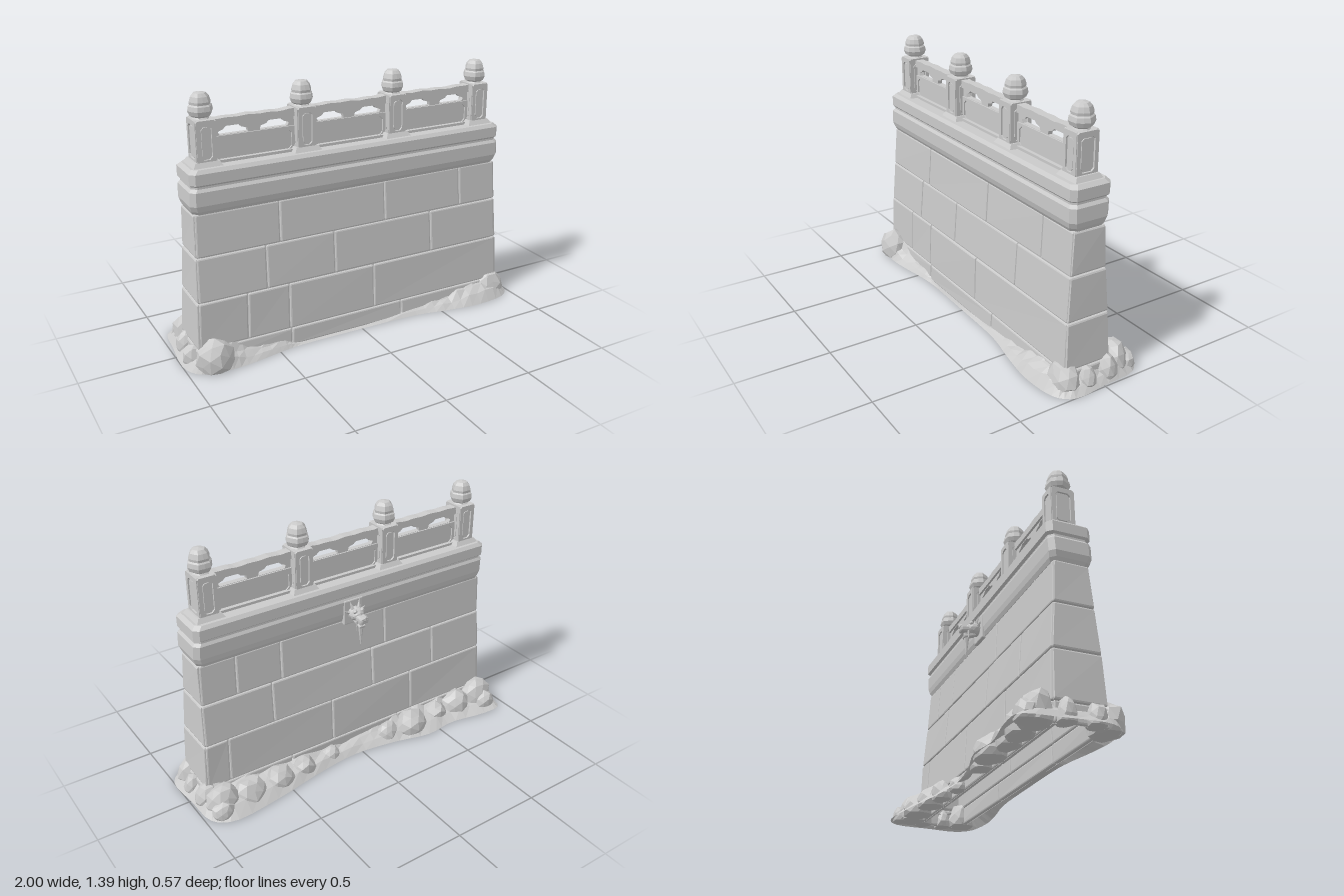
import * as THREE from 'three';
import { RoundedBoxGeometry } from 'three/addons/geometries/RoundedBoxGeometry.js';

const stone = new THREE.MeshStandardMaterial({ color: 0xcacaca });
stone.name = 'grey stone';
stone.side = THREE.DoubleSide;
stone.flatShading = true;

// Small repeatable unevenness from position
const noise = (a, b, c = 0) => Math.sin(a * 37.1 + b * 61.7 + c * 23.3) * Math.cos(a * 17.9 - b * 29.3 + c * 53.9);

// Tapering wall profile: height, half length, back z, front z
const PROFILE = [
  [0, 0.925, -0.09, 0.185], [0.1, 0.92, -0.09, 0.18], [0.36, 0.908, -0.08, 0.17],
  [0.59, 0.9, -0.062, 0.152], [0.82, 0.89, -0.05, 0.136],
];
function wallAt(y) {
  let i = 0;
  while (i < PROFILE.length - 2 && y > PROFILE[i + 1][0]) i++;
  const [p, q] = [PROFILE[i], PROFILE[i + 1]];
  const t = (y - p[0]) / (q[0] - p[0]);
  return [1, 2, 3].map((k) => p[k] + (q[k] - p[k]) * t);
}

function mesh(parent, name, geometry, x = 0, y = 0, z = 0) {
  const m = new THREE.Mesh(geometry, stone);
  m.name = name;
  m.position.set(x, y, z);
  parent.add(m);
  return m;
}

function warp(geometry, rule) {
  const p = geometry.attributes.position;
  const v = new THREE.Vector3();
  for (let i = 0; i < p.count; i++) {
    rule(v.fromBufferAttribute(p, i));
    p.setXYZ(i, v.x, v.y, v.z);
  }
  geometry.computeVertexNormals();
  return geometry;
}

// Joins closed rings of points (anticlockwise in x to z), bottom to top
function loftRings(rings) {
  const n = rings[0].length, index = [];
  for (let r = 0; r < rings.length - 1; r++) {
    for (let i = 0; i < n; i++) {
      const a = r * n + i, b = r * n + (i + 1) % n;
      index.push(a, a + n, b, b, a + n, b + n);
    }
  }
  const g = new THREE.BufferGeometry();
  g.setAttribute('position', new THREE.Float32BufferAttribute(rings.flat(2), 3));
  g.setIndex(index);
  g.computeVertexNormals();
  return g;
}

function rectRing(y, x, zb, zf, chamfer = 0.02) {
  const c = Math.min(chamfer, (zf - zb) * 0.4);
  return [[x, y, zb + c], [x, y, zf - c], [x - c, y, zf], [c - x, y, zf],
    [-x, y, zf - c], [-x, y, zb + c], [c - x, y, zb], [x - c, y, zb]];
}

const polygon = (Type, pts) => new Type(pts.map(([x, y]) => new THREE.Vector2(x, y)));
const octagon = (w, h, c) => [[-w, c - h], [c - w, -h], [w - c, -h], [w, c - h], [w, h - c], [w - c, h], [c - w, h], [-w, h - c]];
const rect = (w, h) => [[-w, -h], [w, -h], [w, h], [-w, h]];

function plate(outline, holes, depth) {
  const s = polygon(THREE.Shape, outline);
  s.holes = holes.map((h) => polygon(THREE.Path, h));
  return new THREE.ExtrudeGeometry(s, { depth, bevelEnabled: false }).translate(0, 0, -depth / 2);
}

function buildWall(parent) {
  // Hollow backing behind the joints
  mesh(parent, 'wallCore', loftRings(PROFILE.map(([y, x, b, f]) => rectRing(y, x - 0.01, b + 0.01, f - 0.01))));
  const D = 0.03, GAP = 0.004, levels = [0, 0.1, 0.355, 0.59, 0.815];
  const joints = {
    front: [[-0.4, 0.26], [-0.64, -0.41, 0.09], [-0.53, -0.14, 0.46], [-0.45, 0.17, 0.66]],
    back: [[-0.3, 0.4], [-0.39, 0.14, 0.77], [-0.55, -0.13, 0.5], [-0.22, 0.44, 0.7]],
  };
  for (let row = 0; row < 4; row++) {
    const y0 = levels[row], y1 = levels[row + 1], h = y1 - y0 - GAP, cy = (y0 + y1) / 2;
    for (const side of ['front', 'back']) {
      const xs = [-0.9, ...joints[side][row], 0.9];
      for (let i = 0; i < xs.length - 1; i++) {
        const g = new RoundedBoxGeometry(xs[i + 1] - xs[i] - GAP, h, D, 1, 0.008);
        g.translate((xs[i] + xs[i + 1]) / 2, cy, side === 'front' ? -D / 2 : D / 2);
        mesh(parent, side + 'Block', warp(g, (v) => {
          const [ex, zb, zf] = wallAt(v.y);
          v.z += (side === 'front' ? zf : zb) + 0.003 * noise(v.x, v.y);
          v.x *= ex / 0.9;
        }));
      }
    }
    for (const s of [-1, 1]) {
      const g = new RoundedBoxGeometry(D, h, 1, 1, 0.01).translate(-s * D / 2, cy, 0);
      mesh(parent, 'endBlock', warp(g, (v) => {
        const [ex, zb, zf] = wallAt(v.y);
        v.x += s * (ex + 0.006 + 0.004 * noise(v.y, v.z));
        v.z = (zb + zf) / 2 + v.z * (zf - zb - 0.012);
      }));
    }
  }
  // Moulded coping with a groove between its two bands
  const coping = [
    [0.81, 0.89, -0.05, 0.135], [0.83, 0.9, -0.06, 0.148], [0.86, 0.91, -0.066, 0.157],
    [0.93, 0.907, -0.07, 0.157], [0.945, 0.895, -0.062, 0.146], [0.955, 0.895, -0.062, 0.146],
    [0.965, 0.905, -0.075, 0.155], [1.02, 0.905, -0.075, 0.155], [1.038, 0.885, -0.06, 0.14],
    [1.034, 0.85, 0.035, 0.045],
  ];
  mesh(parent, 'coping', loftRings(coping.map((r) => rectRing(...r, 0.025))));
}

const RAIL_Z = 0.038;

function buildPost(x) {
  const post = new THREE.Group();
  post.name = 'post';
  post.position.set(x, 0, RAIL_Z);
  const foot = new THREE.CylinderGeometry(Math.SQRT1_2, 1, 0.04, 4).rotateY(Math.PI / 4);
  mesh(post, 'postFoot', foot.scale(0.122, 1, 0.128), 0, 1.04, 0);
  const W = 0.105, H = 0.22, DZ = 0.128, cy = 1.153, T = 0.01;
  mesh(post, 'postCore', new THREE.BoxGeometry(W - 2 * T, H, DZ - 2 * T), 0, cy, 0);
  // Framed panel on every face
  for (let k = 0; k < 4; k++) {
    const [w, d] = k % 2 ? [DZ, W] : [W, DZ];
    const face = new THREE.Group();
    face.name = 'postFace';
    face.rotation.y = k * Math.PI / 2;
    post.add(face);
    mesh(face, 'panelFrame', plate(octagon(w / 2 - 0.004, H / 2, 0.008), [octagon(w / 2 - 0.024, 0.084, 0.014)], T), 0, cy, d / 2 - T / 2);
    mesh(face, 'raisedPanel', plate(octagon(w / 2 - 0.031, 0.076, 0.011), [], 0.006), 0, cy, d / 2 - T + 0.003);
  }
  // Ribbed bud finial
  const bud = [[0.045, 1.258], [0.036, 1.27], [0.052, 1.28], [0.061, 1.302], [0.057, 1.325], [0.05, 1.332],
    [0.052, 1.345], [0.044, 1.37], [0.03, 1.386], [0, 1.392]];
  const g = new THREE.LatheGeometry(bud.map(([r, y]) => new THREE.Vector2(r, y)), 12);
  mesh(post, 'finial', warp(g, (v) => {
    const k = 1 + 0.05 * Math.cos(Math.atan2(v.z, v.x) * 6);
    v.x *= k;
    v.z *= k;
  }));
  return post;
}

function buildRailing(parent) {
  const xs = [-0.797, -0.266, 0.266, 0.797];
  xs.forEach((x) => parent.add(buildPost(x)));
  const opening = [[0.03, 1.168], [0.18, 1.168], [0.188, 1.185], [0.162, 1.195], [0.145, 1.21],
    [0.08, 1.21], [0.065, 1.196], [0.035, 1.188]];
  for (let i = 0; i < 3; i++) {
    const x = (xs[i] + xs[i + 1]) / 2, L = xs[i + 1] - xs[i] - 0.1;
    // Pierced slab with a pair of openings under the handrail
    const slab = [[-L / 2, 1.025], [L / 2, 1.025], [L / 2, 1.235], [-L / 2, 1.235]];
    mesh(parent, 'railSlab', plate(slab, [opening, opening.map(([a, b]) => [-a, b])], 0.026), x, 0, RAIL_Z);
    mesh(parent, 'railFrame', plate(rect(L / 2, 0.068), [octagon(L / 2 - 0.016, 0.053, 0.02)], 0.042), x, 1.098, RAIL_Z);
    mesh(parent, 'railSill', new THREE.BoxGeometry(L, 0.018, 0.07), x, 1.04, RAIL_Z);
    // Worn handrail
    const rail = new THREE.BoxGeometry(L, 0.042, 0.05, 14, 1, 1);
    mesh(parent, 'handrail', warp(rail, (v) => {
      if (v.y > 0) v.y += 0.004 * noise(v.x + i, 0.3) - 0.004 * Math.cos(v.x / L * Math.PI);
    }), x, 1.236, RAIL_Z);
  }
}

function buildSpout(parent) {
  const spout = new THREE.Group();
  spout.name = 'waterSpout';
  spout.position.z = -0.05;
  parent.add(spout);
  mesh(spout, 'backPlate', new RoundedBoxGeometry(0.12, 0.14, 0.024, 1, 0.006), 0, 0.865, -0.012);
  mesh(spout, 'head', new THREE.IcosahedronGeometry(1, 1).scale(0.042, 0.038, 0.05), 0, 0.862, -0.045);
  mesh(spout, 'snout', new RoundedBoxGeometry(0.05, 0.034, 0.08, 1, 0.01), 0, 0.853, -0.09).rotation.x = -0.1;
  mesh(spout, 'nose', new THREE.IcosahedronGeometry(0.02, 0).scale(1.2, 0.9, 0.8), 0, 0.864, -0.122);
  mesh(spout, 'jaw', new RoundedBoxGeometry(0.038, 0.016, 0.07, 1, 0.005), 0, 0.818, -0.075).rotation.x = -0.35;
  mesh(spout, 'waterDrip', new THREE.ConeGeometry(0.018, 0.15, 7).rotateX(Math.PI), 0, 0.755, -0.09);
  for (const s of [-1, 1]) {
    mesh(spout, 'horn', new THREE.ConeGeometry(0.013, 0.06, 5), s * 0.024, 0.91, -0.038).rotation.set(0.25, 0, -s * 0.25);
    mesh(spout, 'ear', new THREE.ConeGeometry(0.014, 0.05, 4), s * 0.045, 0.875, -0.035).rotation.z = -s * 1.1;
    mesh(spout, 'brow', new THREE.IcosahedronGeometry(0.014, 0), s * 0.022, 0.887, -0.068);
    mesh(spout, 'whisker', new THREE.ConeGeometry(0.008, 0.06, 5).rotateX(Math.PI), s * 0.022, 0.81, -0.085);
  }
}

function buildGround(parent) {
  // Ground edge with bank height: x, z, height
  const edge = [[0.97, -0.2, 0.1], [0.99, 0, 0.08], [1, 0.18, 0.08], [0.94, 0.255, 0.1], [0.75, 0.285, 0.11], [0.55, 0.26, 0.06],
    [0.35, 0.22, 0.04], [0, 0.205, 0.005], [-0.37, 0.2, 0.01], [-0.47, 0.21, 0.055], [-0.65, 0.24, 0.06], [-0.8, 0.25, 0.13],
    [-0.94, 0.22, 0.12], [-0.995, 0.13, 0.08], [-0.98, -0.1, 0.08], [-0.95, -0.27, 0.1], [-0.83, -0.28, 0.09], [-0.6, -0.24, 0.09],
    [-0.42, -0.255, 0.1], [-0.2, -0.2, 0.08], [0.05, -0.165, 0.06], [0.3, -0.19, 0.08], [0.6, -0.245, 0.09], [0.88, -0.265, 0.11]];
  const curve = new THREE.CatmullRomCurve3(edge.map(([x, z, h]) => new THREE.Vector3(x, h, z)), true);
  const pts = curve.getPoints(84).slice(0, -1);
  const ring = (t, rise) => pts.map((p) => {
    const ix = THREE.MathUtils.clamp(p.x, -0.89, 0.89), iz = THREE.MathUtils.clamp(p.z, -0.07, 0.16);
    const bump = t > 0 ? 1 + 0.25 * noise(p.x * 0.7, p.z, t) : 1;
    return [p.x + (ix - p.x) * t, Math.max(0, p.y * rise * bump), p.z + (iz - p.z) * t];
  });
  mesh(parent, 'earthBank', loftRings([ring(0, 0), ring(0.3, 0.45), ring(0.65, 0.75), ring(1, 1)]));
  // Boulders: x, z, radius, height
  const rocks = [[-0.85, 0.19, 0.09, 0.16], [-0.93, 0.1, 0.055, 0.11], [0.88, 0.17, 0.08, 0.14], [0.93, 0.07, 0.05, 0.11],
    [0.92, -0.06, 0.06, 0.13], [0.87, -0.14, 0.08, 0.155], [0.72, -0.15, 0.085, 0.13], [0.53, -0.14, 0.075, 0.12],
    [0.37, -0.13, 0.06, 0.11], [0.18, -0.11, 0.05, 0.08], [-0.2, -0.13, 0.06, 0.1], [-0.36, -0.15, 0.09, 0.13],
    [-0.55, -0.14, 0.07, 0.11], [-0.7, -0.15, 0.085, 0.14], [-0.86, -0.15, 0.09, 0.16], [-0.92, -0.04, 0.055, 0.12],
    [-0.88, -0.21, 0.06, 0.1], [0.9, -0.2, 0.055, 0.09]];
  rocks.forEach(([x, z, r, h], i) => {
    mesh(parent, 'boulder', warp(new THREE.IcosahedronGeometry(1, 1), (v) => {
      v.multiplyScalar(1 + 0.12 * noise(v.x + i, v.y, v.z));
      v.set(v.x * r * 1.15, Math.max(0, (v.y + 0.35) * h / 1.35), v.z * r * 0.9);
    }), x, 0, z);
  });
}

export function createModel() {
  const model = new THREE.Group();
  model.name = 'stoneWall';
  const masonry = new THREE.Group();
  masonry.name = 'masonry';
  masonry.rotation.y = -0.011;
  model.add(masonry);
  buildWall(masonry);
  buildRailing(masonry);
  buildSpout(masonry);
  buildGround(model);
  return model;
}
